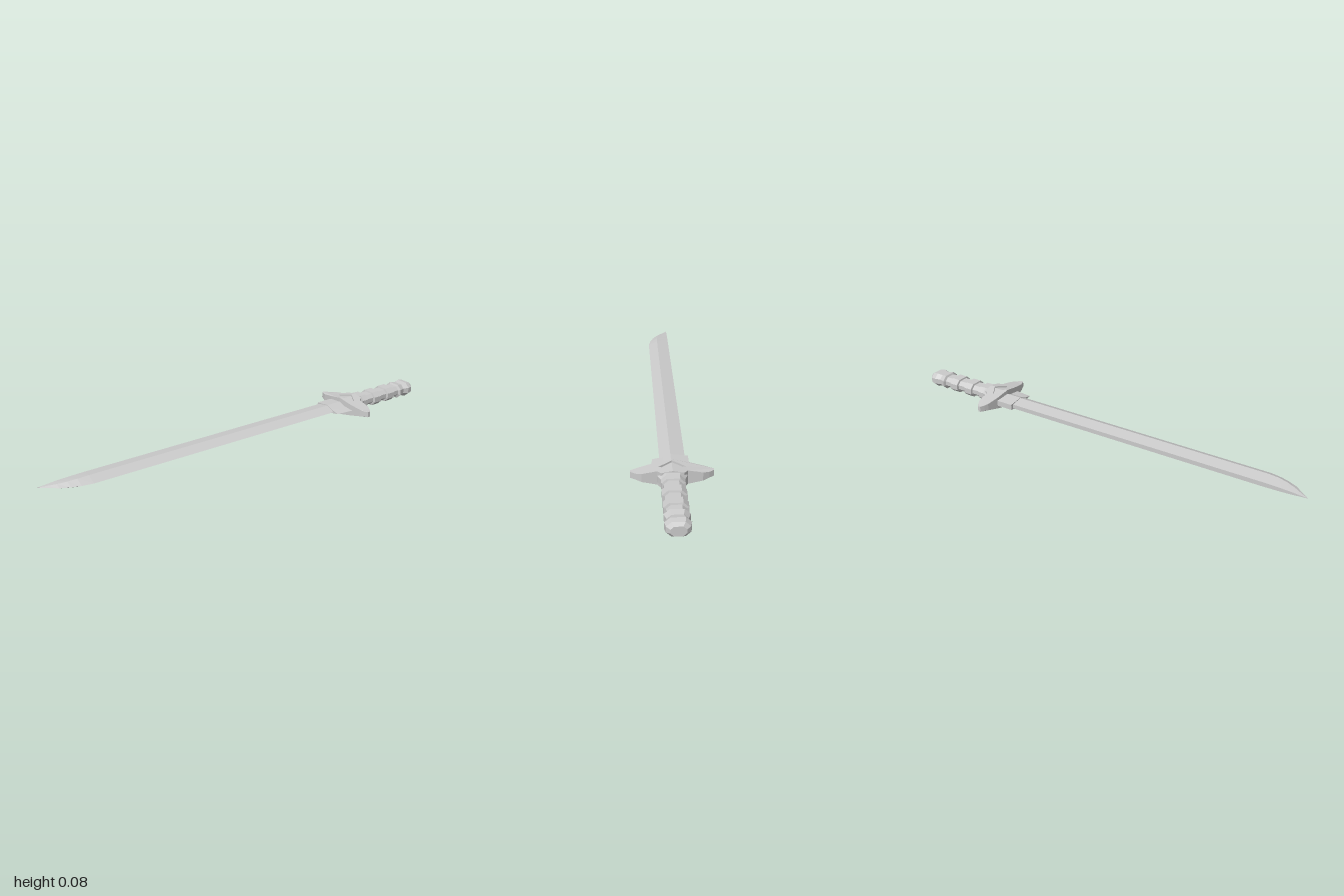
import * as THREE from 'three';

const MID = 0.0415; // height of the sword's centre line
const material = new THREE.MeshStandardMaterial({ color: 0xcccccc, flatShading: true });

// Skin rings of [x, y] points (counter-clockwise seen from +z) placed at rising z, with capped ends
function loft(name, sections) {
  const pos = [];
  const rings = sections.map(({ z, ring }) => ring.map(([x, y]) => [x, y + MID, z]));
  const n = rings[0].length;
  const tri = (a, b, c) => pos.push(...a, ...b, ...c);
  for (let k = 0; k + 1 < rings.length; k++) {
    for (let i = 0; i < n; i++) {
      const j = (i + 1) % n, a = rings[k], b = rings[k + 1];
      tri(a[i], a[j], b[j]);
      tri(a[i], b[j], b[i]);
    }
  }
  const first = rings[0], last = rings[rings.length - 1];
  const centre = (r) => [0, 1, 2].map((c) => r.reduce((s, p) => s + p[c], 0) / n);
  for (let i = 0; i < n; i++) {
    const j = (i + 1) % n;
    tri(centre(first), first[j], first[i]);
    tri(centre(last), last[i], last[j]);
  }
  const geo = new THREE.BufferGeometry();
  geo.setAttribute('position', new THREE.Float32BufferAttribute(pos, 3));
  geo.computeVertexNormals();
  const mesh = new THREE.Mesh(geo, material);
  mesh.name = name;
  return mesh;
}

// Extrude an [x, z] outline on one side of the sword; height(x) gives its half thickness
function plate(name, outline, side, height) {
  const shape = new THREE.Shape(outline.map(([x, z]) => new THREE.Vector2(side * x, -z)));
  const geo = new THREE.ExtrudeGeometry(shape, { depth: 1, bevelEnabled: false });
  geo.rotateX(-Math.PI / 2);
  const p = geo.attributes.position;
  for (let i = 0; i < p.count; i++) {
    p.setY(i, MID + (p.getY(i) > 0.5 ? 1 : -1) * height(Math.abs(p.getX(i))));
  }
  geo.computeVertexNormals();
  const mesh = new THREE.Mesh(geo, material);
  mesh.name = name;
  return mesh;
}

export function createModel() {
  const sword = new THREE.Group();
  sword.name = 'sword';

  // Single-edged blade: flat spine at -x, ridge near the middle, cutting edge at +x
  const bladeRows = [ // z, edge x, ridge x, ridge half thickness, spine half thickness
    [-0.56, 0.045, 0, 0.02, 0.01],
    [0.8, 0.043, 0, 0.02, 0.01],
    [0.85, 0.034, -0.002, 0.018, 0.009],
    [0.89, 0.02, -0.01, 0.014, 0.008],
    [0.93, 0.0, -0.024, 0.009, 0.006],
    [0.965, -0.03, -0.042, 0.004, 0.003],
    [1.0, -0.058, -0.058, 0.0005, 0.0005],
  ];
  sword.add(loft('blade', bladeRows.map(([z, e, r, t, s]) => ({
    z, ring: [[e, 0], [r, t], [-0.058, s], [-0.058, -s], [r, -t]],
  }))));

  // Collar around the blade root, drawn out to a thin point on the edge side
  const collarRing = (e) => [[e, 0], [0.03, 0.009], [0, 0.022], [-0.071, 0.013],
    [-0.071, -0.013], [0, -0.022], [0.03, -0.009]];
  sword.add(loft('collar', [
    { z: -0.56, ring: collarRing(0.084) },
    { z: -0.465, ring: collarRing(0.074) },
  ]));

  // Guard: two mirrored wings thinning outward, with a sunken diamond on both faces
  const guard = new THREE.Group();
  guard.name = 'guard';
  const slope = (x) => 0.0415 - 0.0285 * Math.min(x / 0.145, 1);
  const wing = [[0, -0.64], [0.045, -0.64], [0.06, -0.618], [0.12, -0.616], [0.145, -0.603],
    [0.165, -0.588], [0.165, -0.575], [0.145, -0.565], [0.127, -0.558], [0.07, -0.547],
    [0, -0.542], [0, -0.555], [0.055, -0.586], [0, -0.617]];
  const diamond = [[0, -0.555], [0.055, -0.586], [0, -0.617]];
  for (const side of [-1, 1]) {
    guard.add(plate('guardWing', wing, side, slope));
    guard.add(plate('guardInset', diamond, side, (x) => slope(x) - 0.008));
  }
  sword.add(guard);

  // Octagonal grip with raised bands, ending in a faceted pommel
  const octagon = (w, h) => [[w, -0.4 * h], [w, 0.4 * h], [0.55 * w, h], [-0.55 * w, h],
    [-w, 0.4 * h], [-w, -0.4 * h], [-0.55 * w, -h], [0.55 * w, -h]];
  const gripRows = [ // z, half width, half height
    [-1.0, 0.03, 0.02],
    [-0.985, 0.045, 0.03],
    [-0.96, 0.05, 0.034],
    [-0.935, 0.04, 0.029],
    [-0.905, 0.05, 0.034],
    [-0.9, 0.038, 0.026],
  ];
  for (const z of [-0.84, -0.752]) {
    gripRows.push([z - 0.023, 0.038, 0.026], [z - 0.021, 0.048, 0.033],
      [z + 0.021, 0.048, 0.033], [z + 0.023, 0.038, 0.026]);
  }
  gripRows.push([-0.687, 0.038, 0.026], [-0.685, 0.047, 0.033], [-0.655, 0.047, 0.034],
    [-0.63, 0.058, 0.035], [-0.61, 0.06, 0.03]);
  sword.add(loft('grip', gripRows.map(([z, w, h]) => ({ z, ring: octagon(w, h) }))));

  return sword;
}
